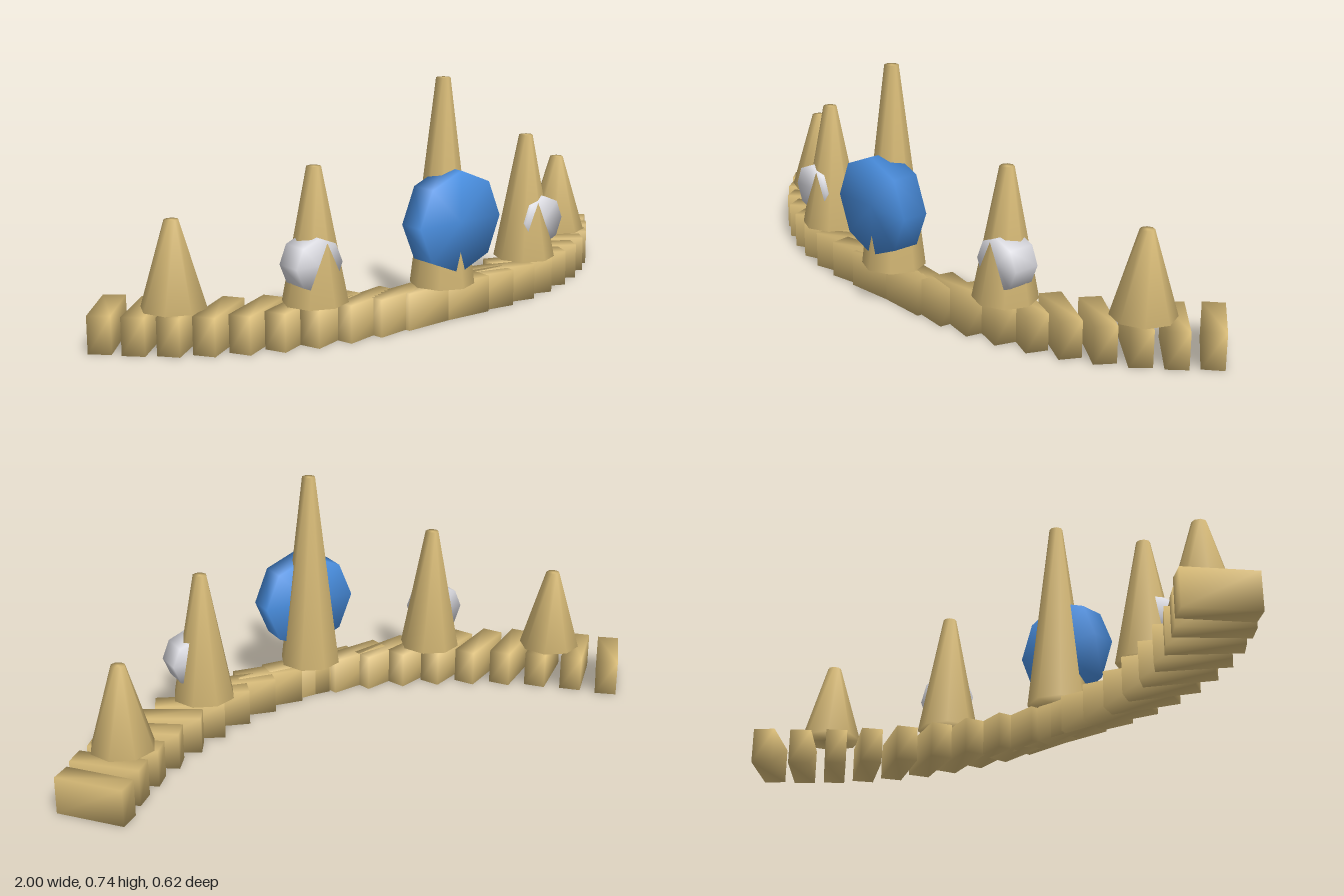
import * as THREE from 'three';
import { mergeVertices } from 'three/addons/utils/BufferGeometryUtils.js';

// Share corners so the shading rolls softly around every edge
function soften(geometry) {
  geometry.deleteAttribute('normal');
  geometry.deleteAttribute('uv');
  const g = mergeVertices(geometry, 1e-4);
  g.computeVertexNormals();
  return g;
}

export function createModel() {
  const material = (name, color) => {
    const m = new THREE.MeshStandardMaterial({ color });
    m.name = name;
    return m;
  };
  const gold = material('gold', 0xd9bc78);
  const blue = material('blue gem', 0x4a90e2);
  const silver = material('pale gem', 0xdcdce2);

  const model = new THREE.Group();
  model.name = 'tiara';
  const add = (name, geometry, mat, x, y, z) => {
    const mesh = new THREE.Mesh(geometry, mat);
    mesh.name = name;
    mesh.position.set(x, y, z);
    model.add(mesh);
    return mesh;
  };

  // Band: blocks spread along a 100 degree arc, each turned against the curve
  const COUNT = 20, R = 1.18, FRONT = 0.21, BAND = 0.113;
  const block = soften(new THREE.BoxGeometry(0.212, BAND, 0.068));
  for (let i = 0; i < COUNT; i++) {
    const a = THREE.MathUtils.degToRad(-50 + (100 * i) / (COUNT - 1));
    const mesh = add('bandBlock', block, gold,
      R * Math.sin(a), BAND / 2, FRONT - R * (1 - Math.cos(a)));
    mesh.rotation.y = -a;
  }

  // Spikes: eight-sided tapered cones standing on the band
  const spike = (name, x, z, top) => {
    const h = top - BAND;
    add(name, soften(new THREE.CylinderGeometry(0.0215, 0.098, h, 8)), gold, x, BAND + h / 2, z);
  };
  // Gems: eight-sided discs facing forward
  const gem = (name, r, mat, x, y, z) => {
    const g = new THREE.CylinderGeometry(r, r, 0.085, 8);
    g.rotateX(Math.PI / 2);
    add(name, soften(g), mat, x, y, z);
  };

  spike('centreSpike', 0, 0.209, 0.737);
  gem('centreGem', 0.155, blue, 0, 0.315, 0.251);
  for (const s of [-1, 1]) {
    const side = s > 0 ? 'left' : 'right';
    spike(side + 'MiddleSpike', s * 0.416, 0.132, 0.511);
    spike(side + 'OuterSpike', s * 0.764, -0.072, 0.37);
    gem(side + 'Gem', 0.08, silver, s * 0.443, 0.236, 0.152);
  }
  return model;
}
